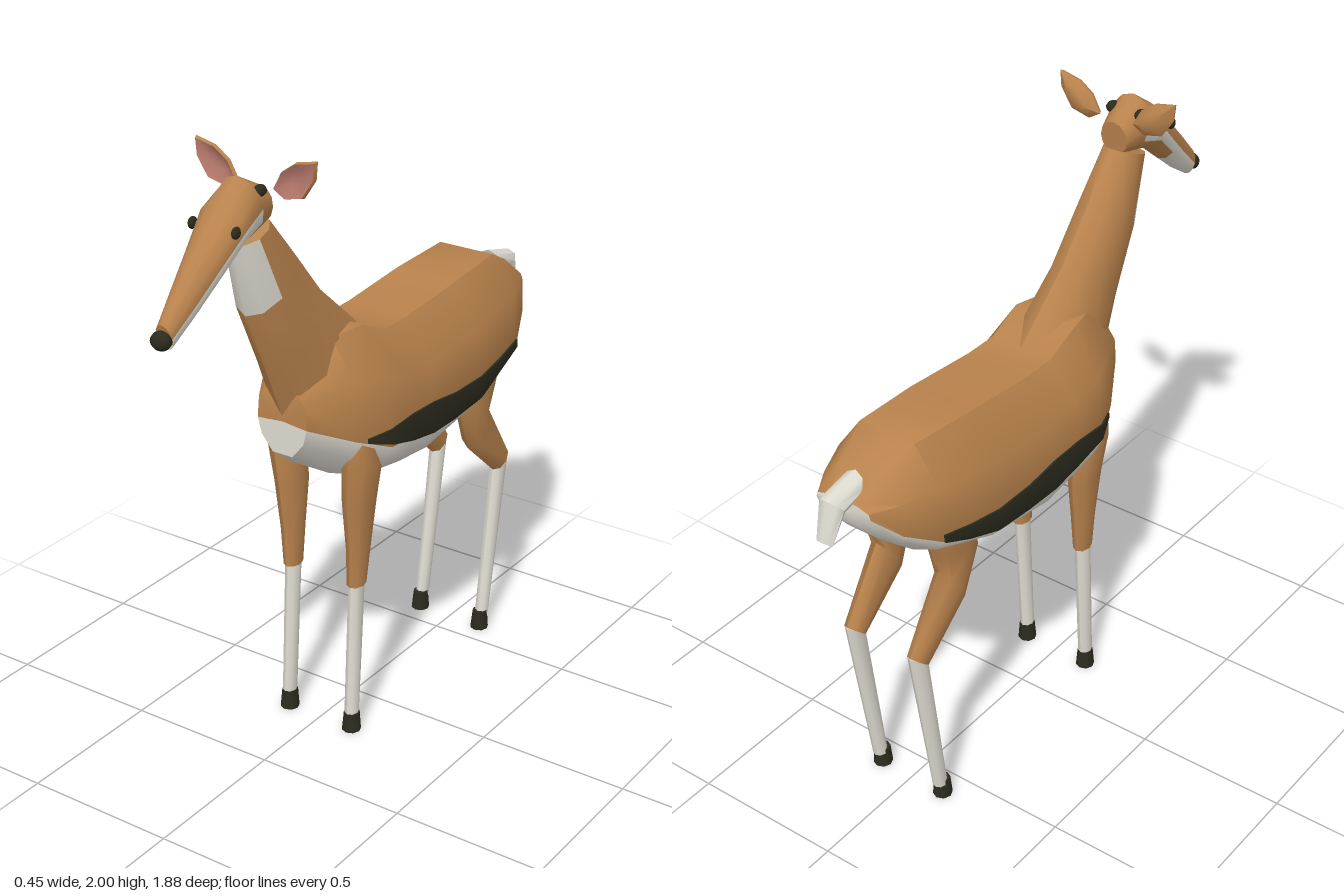
import * as THREE from 'three';
import { toCreasedNormals } from 'three/addons/utils/BufferGeometryUtils.js';

const mat = (name, color) => new THREE.MeshStandardMaterial({ name, color });

export function createModel() {
  const model = new THREE.Group();
  model.name = 'antelope';
  const coat = mat('tan coat', 0xb8824c);
  const white = mat('white fur', 0xdedbd0);
  const dark = mat('dark markings', 0x2b2b1f);
  const pink = mat('inner ear pink', 0xb5786c);

  // Oval ring between two edge points (z, y), with half width w, around x
  const ring = (za, ya, zb, yb, w, x = 0, n = 8) => Array.from({ length: n }, (_, k) => {
    const a = (k / n) * Math.PI * 2, c = Math.cos(a) / 2;
    return [x + w * Math.sin(a), (ya + yb) / 2 + c * (ya - yb), (za + zb) / 2 + c * (za - zb)];
  });

  // Closed skin over rings; pick(segment, facet) chooses the material index.
  // Segment -1 is the first cap, rings.length - 1 the last.
  function loft(name, rings, materials, pick = () => 0, crease = 0.9, parent = model) {
    const n = rings[0].length, last = rings.length - 1, pos = rings.flat();
    const faces = materials.map(() => []);
    const add = (i, j, ...t) => faces[pick(i, j)].push(t);
    const centre = r => r.reduce((s, p) => s.map((v, k) => v + p[k] / n), [0, 0, 0]);
    const c0 = pos.push(centre(rings[0])) - 1, c1 = pos.push(centre(rings[last])) - 1;
    for (let j = 0; j < n; j++) {
      const k = (j + 1) % n;
      for (let i = 0; i < last; i++) {
        const a = i * n + j, b = i * n + k;
        add(i, j, a, b, b + n);
        add(i, j, a, b + n, a + n);
      }
      add(-1, j, c0, k, j);
      add(last, j, c1, last * n + j, last * n + k);
    }
    // Turn the skin outwards if its volume is negative
    const v = pos.map(p => new THREE.Vector3(...p).sub(new THREE.Vector3(...pos[c0])));
    const volume = faces.flat().reduce((s, [a, b, c]) => s + v[a].dot(v[b].clone().cross(v[c])), 0);
    if (volume < 0) faces.flat().forEach(t => t.reverse());
    const g = new THREE.BufferGeometry();
    g.setAttribute('position', new THREE.Float32BufferAttribute(pos.flat(), 3));
    g.setIndex(faces.flat(2));
    let start = 0;
    faces.forEach((f, m) => { g.addGroup(start, f.length * 3, m); start += f.length * 3; });
    const mesh = new THREE.Mesh(toCreasedNormals(g, crease), materials.length > 1 ? materials : materials[0]);
    mesh.name = name;
    parent.add(mesh);
    return mesh;
  }

  function ball(name, material, r, p, scale, parent = model) {
    const mesh = new THREE.Mesh(new THREE.SphereGeometry(r, 10, 8), material);
    mesh.name = name;
    mesh.position.set(...p);
    mesh.scale.set(...scale);
    parent.add(mesh);
  }

  // Trunk stations: z, belly, colour line, back, half width
  const trunk = [
    [0.38, 1.02, 1.12, 1.24, 0.09], [0.24, 0.92, 1.05, 1.37, 0.17], [0.12, 0.87, 1.0, 1.375, 0.22],
    [0, 0.84, 0.99, 1.32, 0.22], [-0.12, 0.82, 0.97, 1.32, 0.22], [-0.4, 0.89, 0.98, 1.345, 0.22],
    [-0.64, 0.98, 1.06, 1.36, 0.2], [-0.76, 1.08, 1.13, 1.3, 0.15], [-0.84, 1.17, 1.21, 1.24, 0.1],
  ];
  const trunkRings = trunk.map(([z, b, m, t, w]) => {
    const half = [[0, t], [0.5, t], [0.93, m + 0.6 * (t - m)], [1, m], [0.85, (m + b) / 2], [0.4, b], [0, b]];
    return [...half, ...half.slice(1, 6).reverse().map(([x, y]) => [-x, y])].map(([x, y]) => [x * w, y, z]);
  });
  loft('body', trunkRings, [coat, white],
    (i, j) => (i === trunk.length - 1 || (j > 2 && j < 9) ? 1 : 0));

  // Flank stripe: z, lower edge, upper edge; follows the trunk surface
  const stripe = [[0.2, 1.035, 1.05], [0.12, 1.01, 1.06], [0, 0.975, 1.065], [-0.12, 0.955, 1.06],
    [-0.25, 0.95, 1.045], [-0.4, 0.965, 1.045], [-0.52, 1.0, 1.06], [-0.64, 1.06, 1.085]];
  const stationAt = z => {
    const i = trunk.findIndex((s, k) => k < trunk.length - 1 && z >= trunk[k + 1][0]);
    const f = (trunk[i][0] - z) / (trunk[i][0] - trunk[i + 1][0]);
    return trunk[i].map((v, k) => v + (trunk[i + 1][k] - v) * f);
  };
  for (const s of [1, -1]) {
    loft('flankStripe', stripe.map(([z, lo, hi]) => {
      const [, b, m, t, w] = stationAt(z);
      const at = (y, d) => [s * (d + w * (1 - (y > m ? 0.07 * (y - m) / (0.6 * (t - m)) : 0.3 * (m - y) / (m - b)))), y, z];
      const mid = Math.min(hi, Math.max(lo, m));
      return [at(hi, 0.006), at(mid, 0.006), at(lo, 0.006), at(lo, -0.003), at(hi, -0.003)];
    }), [dark]);
  }

  // Neck with white throat patch
  loft('neck', [
    ring(-0.04, 1.29, 0.36, 1.1, 0.12, 0, 10), ring(0.2, 1.5, 0.45, 1.31, 0.09, 0, 10),
    ring(0.34, 1.665, 0.545, 1.52, 0.083, 0, 10), ring(0.46, 1.8, 0.6, 1.75, 0.065, 0, 10),
  ], [coat, white], (i, j) => (i === 2 && j > 2 && j < 7 ? 1 : 0));

  // Head with white cheek stripes and chin
  loft('head', [
    ring(0.465, 1.89, 0.475, 1.78, 0.048, 0, 12), ring(0.57, 1.945, 0.53, 1.77, 0.075, 0, 12),
    ring(0.65, 1.89, 0.62, 1.75, 0.082, 0, 12), ring(0.74, 1.8, 0.72, 1.665, 0.062, 0, 12),
    ring(0.83, 1.71, 0.8, 1.6, 0.045, 0, 12), ring(0.915, 1.62, 0.89, 1.54, 0.028, 0, 12),
  ], [coat, white], (i, j) => {
    const f = Math.min(j, 11 - j); // 0 = brow, 5 = chin
    return (i > 0 && i < 5 && f === 3) || (i > 2 && f > 3) ? 1 : 0;
  });
  ball('nose', dark, 0.03, [0, 1.575, 0.917], [1.1, 0.95, 0.9]);

  // Tail
  loft('tail', [
    ring(-0.78, 1.31, -0.82, 1.22, 0.04), ring(-0.91, 1.275, -0.86, 1.22, 0.044),
    ring(-0.94, 1.15, -0.91, 1.135, 0.03),
  ], [white]);

  // Parts built on the left side and mirrored
  for (const s of [1, -1]) {
    const side = new THREE.Group();
    side.name = s > 0 ? 'leftSide' : 'rightSide';
    side.scale.x = s;
    model.add(side);
    const part = (name, rings, material) => loft(name, rings, [material], () => 0, 0.9, side);

    ball('eye', dark, 0.018, [0.075, 1.825, 0.675], [0.6, 1, 1], side);
    ball('browSpot', dark, 0.022, [0.052, 1.902, 0.535], [0.8, 0.8, 1.1], side);

    // Ear: shallow shell with a cupped pink inside
    const outline = [[0.06, 1.895], [0.09, 1.95], [0.14, 1.985], [0.21, 2], [0.205, 1.945], [0.165, 1.885], [0.1, 1.87]];
    const earRing = (k, z) => outline.map(([x, y]) => [0.135 + (x - 0.135) * k, 1.93 + (y - 1.93) * k, z]);
    loft('ear', [earRing(0.5, 0.455), earRing(1, 0.48), earRing(0.93, 0.492), earRing(0.4, 0.476)],
      [coat, pink], i => (i > 1 ? 1 : 0), 0.9, side);

    // Foreleg
    part('upperForeleg', [ring(0.23, 1.04, 0.12, 1.02, 0.045, 0.145), ring(0.24, 0.96, 0.09, 0.94, 0.055, 0.14),
      ring(0.23, 0.82, 0.095, 0.8, 0.045, 0.128), ring(0.21, 0.65, 0.115, 0.65, 0.034, 0.125),
      ring(0.205, 0.52, 0.13, 0.52, 0.027, 0.122)], coat);
    part('lowerForeleg', [ring(0.198, 0.54, 0.136, 0.54, 0.023, 0.122), ring(0.222, 0.05, 0.17, 0.05, 0.022, 0.122)], white);
    part('frontHoof', [ring(0.222, 0.065, 0.168, 0.065, 0.025, 0.122), ring(0.228, 0, 0.165, 0, 0.031, 0.122)], dark);

    // Hind leg
    part('thigh', [ring(-0.42, 1.0, -0.64, 1.06, 0.05, 0.13), ring(-0.41, 0.91, -0.61, 0.96, 0.055, 0.125),
      ring(-0.48, 0.73, -0.57, 0.87, 0.045, 0.122), ring(-0.65, 0.58, -0.72, 0.64, 0.03, 0.122)], coat);
    part('hindShank', [ring(-0.65, 0.61, -0.722, 0.635, 0.026, 0.122), ring(-0.572, 0.05, -0.622, 0.05, 0.022, 0.122)], white);
    part('hindHoof', [ring(-0.56, 0.065, -0.612, 0.065, 0.025, 0.122), ring(-0.553, 0, -0.617, 0, 0.031, 0.122)], dark);
  }
  return model;
}
